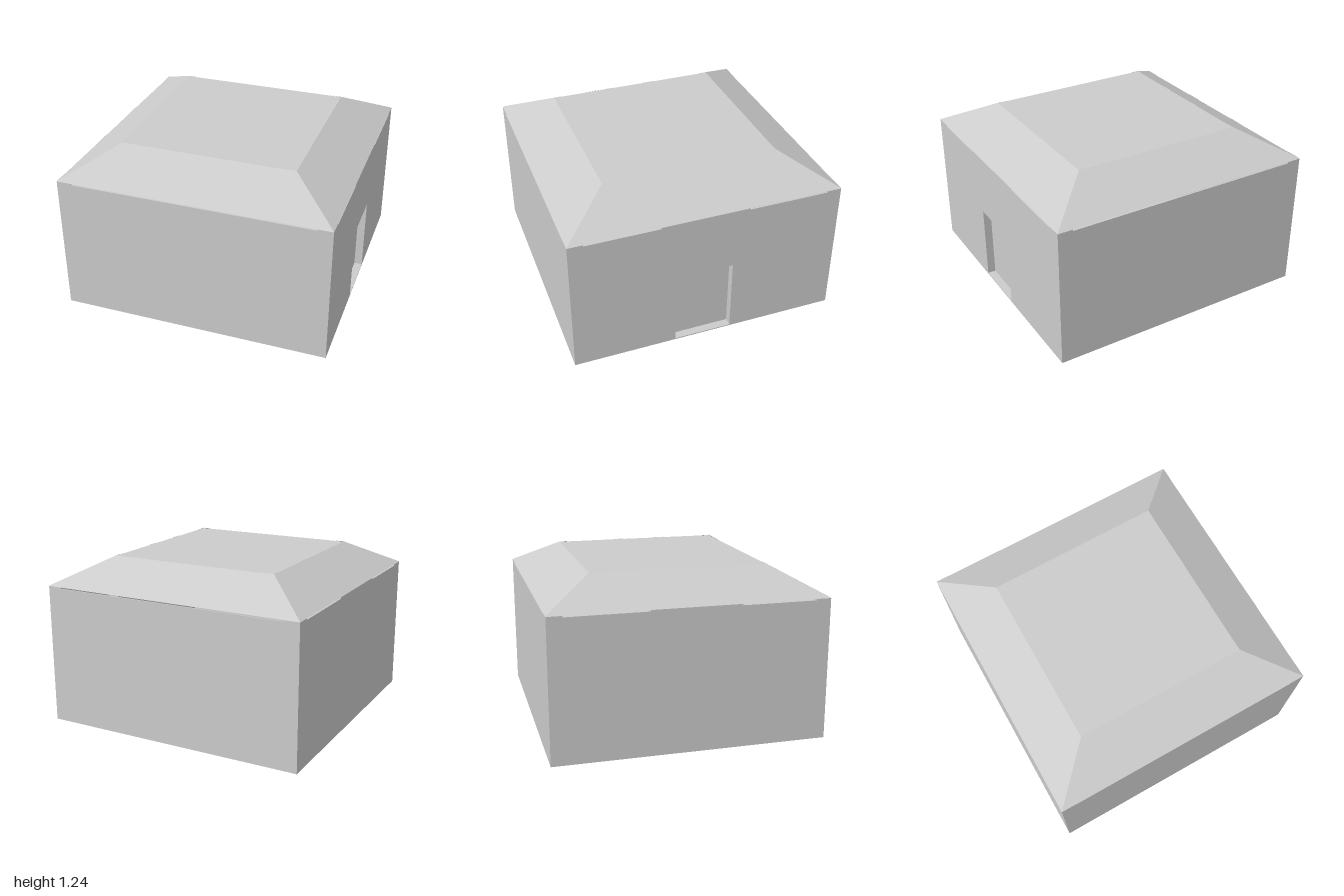
import * as THREE from 'three';

const EAVE = 1.045, TOP = 1.24, BAY = 1.035;  // heights of eave, roof deck and wall panels
const IN = 0.89, DECK = 0.645;                // inner wall line, half size of the roof deck
const T = 1 - IN;

export function createModel() {
  const model = new THREE.Group();
  const mat = new THREE.MeshStandardMaterial({ color: 0xcccccc, flatShading: true, side: THREE.DoubleSide });

  const add = (name, geo, parent = model) => {
    const mesh = new THREE.Mesh(geo, mat);
    mesh.name = name;
    parent.add(mesh);
    return mesh;
  };
  // Box given by its lower and upper limits on each axis
  const box = (name, x0, x1, y0, y1, z0, z1) =>
    add(name, new THREE.BoxGeometry(x1 - x0, y1 - y0, z1 - z0))
      .position.set((x0 + x1) / 2, (y0 + y1) / 2, (z0 + z1) / 2);

  // Hollow square post, open at the foot
  const rect = (target, s) => {
    target.moveTo(-s, -s);
    target.lineTo(s, -s);
    target.lineTo(s, s);
    target.lineTo(-s, s);
    target.closePath();
    return target;
  };
  const profile = rect(new THREE.Shape(), T / 2);
  profile.holes.push(rect(new THREE.Path(), T / 2 - 0.006));
  const postGeo = new THREE.ExtrudeGeometry(profile, { depth: EAVE, bevelEnabled: false });
  postGeo.rotateX(-Math.PI / 2);
  for (const sx of [-1, 1]) {
    for (const z of [-1 + T / 2, -0.19 - T / 2, 0.24 + T / 2, 1 - T / 2]) {
      add('post', postGeo).position.set(sx * (1 - T / 2), 0, z);
    }
  }

  // Floor slab
  box('floor', -IN, IN, 0, 0.1, -IN, IN);

  // Wall panels between the posts, stopping just short of the roof
  box('frontWall', -IN, IN, 0, BAY, IN, 1);
  box('backWall', -IN, IN, 0, BAY, -1, -0.99);
  box('leftWallFront', IN, 1, 0, BAY, 0.24 + T, IN);
  box('leftWallBack', 0.99, 1, 0, BAY, -IN, -0.19 - T);
  box('rightWallFront', -1, -IN, 0, BAY, 0.24 + T, IN);
  box('rightWallBack', -1, -IN, 0, BAY, -IN, -0.19 - T);
  box('rightWallMiddle', -1, -IN, 0, EAVE, -0.19, 0.24);

  // Recessed doorway
  box('doorLintel', IN, 1, 0.575, EAVE, -0.19, 0.24);
  box('doorPanel', IN, 0.94, 0, 0.575, -0.19, 0.24);
  box('doorThreshold', 0.94, 1, 0, 0.008, -0.19, 0.24);

  // Sloped roof with a flat deck
  const slopes = new THREE.CylinderGeometry(DECK * Math.SQRT2, Math.SQRT2, TOP - EAVE, 4, 1, true);
  slopes.rotateY(Math.PI / 4);
  add('roofSlopes', slopes).position.y = (TOP + EAVE) / 2;
  const deck = new THREE.PlaneGeometry(2 * DECK, 2 * DECK);
  deck.rotateX(-Math.PI / 2);
  add('roofDeck', deck).position.y = TOP;

  // Thin tapered rib: up the slope from eave span a to deck span b, then a short way inward
  const rib = (parent, a0, a1, b0, b1, inner) => {
    const geo = new THREE.BufferGeometry();
    geo.setAttribute('position', new THREE.Float32BufferAttribute([
      a0, EAVE, 1, a1, EAVE, 1,
      b0, TOP, DECK, b1, TOP, DECK,
      b0, TOP, inner, b1, TOP, inner,
    ], 3));
    geo.setIndex([0, 1, 3, 0, 3, 2, 2, 3, 5, 2, 5, 4]);
    geo.computeVertexNormals();
    geo.translate(0, 0.003, 0);
    add('roofRib', geo, parent);
  };
  for (let i = 0; i < 4; i++) {
    const side = new THREE.Group();
    side.name = 'roofRibs';
    side.rotation.y = i * Math.PI / 2;
    // Ribs along the hips
    rib(side, -1, -0.89, -DECK, -0.58, DECK - 0.005);
    rib(side, 0.89, 1, 0.58, DECK, DECK - 0.005);
    // Ribs above the middle posts of the two side walls
    if (i % 2 === 1) {
      const s = i === 1 ? -1 : 1;
      for (const [a, b, c, d] of [[0.24, 0.37, 0.16, 0.24], [-0.3, -0.19, -0.19, -0.11]]) {
        if (s > 0) rib(side, a, b, c, d, 0.56);
        else rib(side, -b, -a, -d, -c, 0.56);
      }
    }
    model.add(side);
  }
  return model;
}
